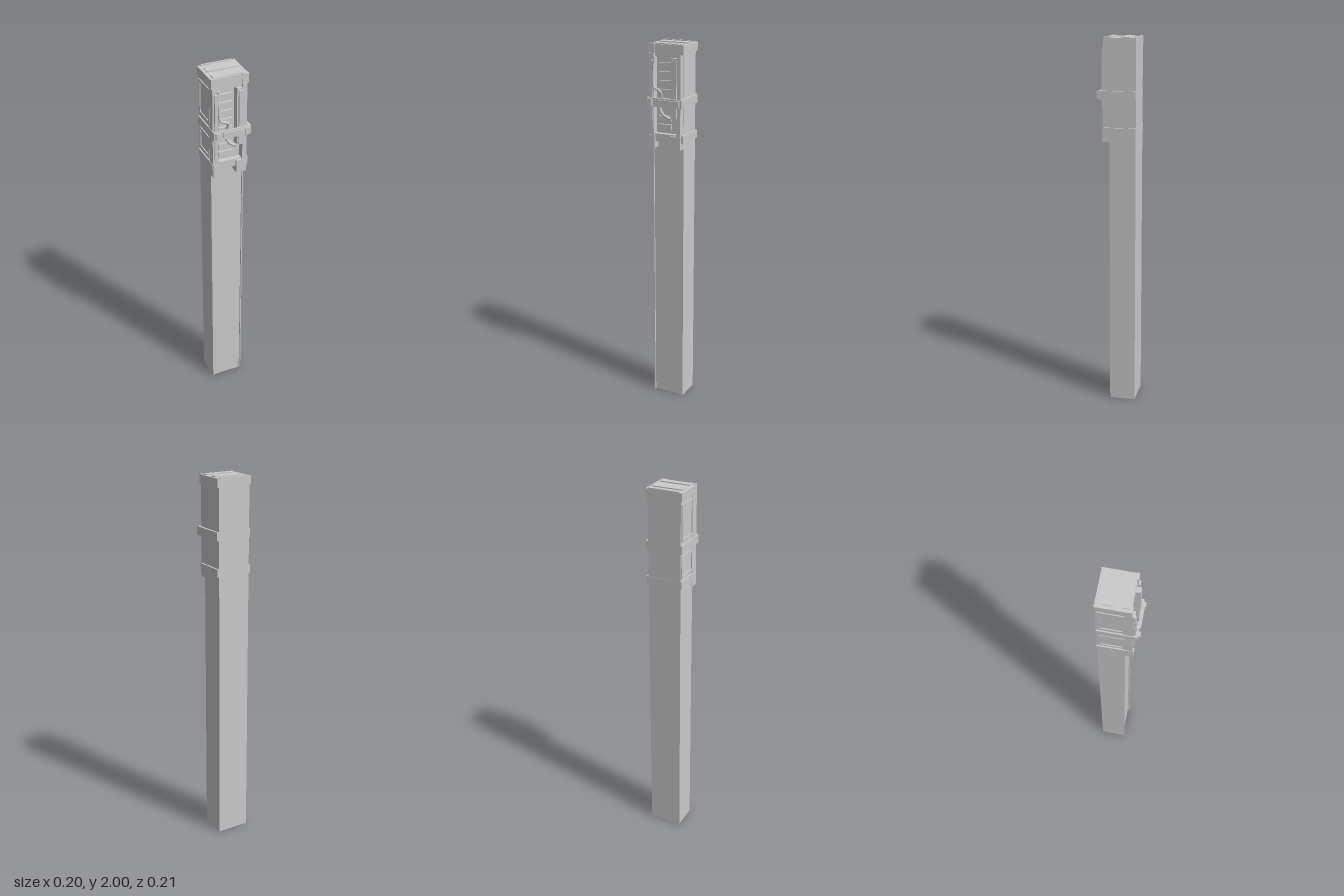
import * as THREE from 'three';

const material = new THREE.MeshStandardMaterial({ color: 0xcccccc, flatShading: true });

export function createModel() {
  const model = new THREE.Group();

  const add = (name, geometry) => {
    const mesh = new THREE.Mesh(geometry, material);
    mesh.name = name;
    model.add(mesh);
    return mesh;
  };
  // Box given by its extents on each axis
  const block = (name, x0, x1, y0, y1, z0, z1) => {
    const g = new THREE.BoxGeometry(x1 - x0, y1 - y0, z1 - z0);
    g.translate((x0 + x1) / 2, (y0 + y1) / 2, (z0 + z1) / 2);
    return add(name, g);
  };

  // Tall shaft with a shallow channel down the front
  const outline = [
    [-0.093, -0.103], [0.087, -0.103], [0.087, 0.037], [0.081, 0.037],
    [0.081, 0.028], [-0.087, 0.028], [-0.087, 0.037], [-0.093, 0.037],
  ].map(([x, z]) => new THREE.Vector2(x, -z));
  const shaft = new THREE.ExtrudeGeometry(new THREE.Shape(outline), { depth: 1.97, bevelEnabled: false });
  shaft.rotateX(-Math.PI / 2);
  add('shaft', shaft);

  // Cap with raised ribs on top and corner brackets on the front
  block('cap', -0.1, 0.097, 1.95, 1.995, -0.105, 0.062);
  block('capRib', -0.083, 0.083, 1.995, 2, -0.065, -0.02);
  block('capRib', -0.083, 0.083, 1.995, 2, 0.022, 0.055);
  block('capRib', -0.083, 0.083, 1.995, 2, -0.104, -0.095);
  for (const [x0, x1] of [[-0.1, -0.066], [0.063, 0.097]]) {
    block('capBracket', x0, x1, 1.948, 1.998, 0.055, 0.067);
  }

  // Lower strap, flush with the back
  block('lowerStrap', -0.1, 0.097, 1.494, 1.536, -0.104, 0.064);

  // Middle strap: a band standing clear of the front
  block('middleStrapSide', -0.1, -0.092, 1.682, 1.727, -0.104, 0.093);
  block('middleStrapSide', 0.086, 0.1, 1.682, 1.727, -0.104, 0.093);
  block('middleStrapFront', -0.1, 0.1, 1.682, 1.727, 0.084, 0.093);
  block('middleStrapPlate', -0.048, 0.088, 1.69, 1.719, 0.093, 0.1);
  for (const x of [-0.078, 0.076]) {
    block('strapBlock', x - 0.013, x + 0.013, 1.687, 1.722, 0.093, 0.105);
  }

  // Front rails and their feet
  block('leftHandRail', -0.097, -0.066, 1.46, 1.95, 0.028, 0.072);
  block('rightHandRail', 0.062, 0.085, 1.46, 1.95, 0.028, 0.075);
  block('rightHandFoot', 0.03, 0.085, 1.46, 1.53, 0.028, 0.077);
  block('leftHandFoot', -0.097, -0.063, 1.46, 1.53, 0.028, 0.077);
  block('topRail', -0.066, 0.062, 1.932, 1.95, 0.028, 0.06);

  // Slats between the rails
  block('slatBacking', -0.066, 0.062, 1.53, 1.94, 0.028, 0.038);
  for (let i = 0; i < 9; i++) {
    const y = 1.556 + i * 0.0455;
    block('slat', -0.054, 0.02, y, y + 0.028, 0.036, 0.05);
  }

  // Slim bars mounted beside the slats
  block('sideBar', 0.032, 0.07, 1.62, 1.93, 0.036, 0.074);
  block('sideBarRidge', 0.04, 0.066, 1.63, 1.92, 0.074, 0.083);
  block('leverBar', -0.088, -0.07, 1.56, 1.92, 0.072, 0.08);

  // Curved lever hanging behind the middle strap
  const leverPath = new THREE.CatmullRomCurve3([
    [-0.063, 1.93, 0.07], [-0.066, 1.85, 0.078], [-0.058, 1.78, 0.084], [-0.025, 1.765, 0.09],
    [-0.02, 1.74, 0.08], [-0.032, 1.69, 0.077], [-0.01, 1.645, 0.083], [0.022, 1.625, 0.078],
  ].map((p) => new THREE.Vector3(...p)));
  add('lever', new THREE.TubeGeometry(leverPath, 32, 0.0065, 8));
  for (const t of [0, 1]) {
    const end = add('leverEnd', new THREE.SphereGeometry(0.008, 8, 6));
    end.position.copy(leverPath.getPoint(t));
  }

  // Framed panels on the side walls of the head
  const sideFrame = (x0, x1, y0, y1) => {
    block('sideFramePost', x0, x1, y0, y1, -0.095, -0.083);
    block('sideFramePost', x0, x1, y0, y1, 0.022, 0.034);
    block('sideFrameBar', x0, x1, y0, y0 + 0.014, -0.083, 0.022);
    block('sideFrameBar', x0, x1, y1 - 0.014, y1, -0.083, 0.022);
  };
  sideFrame(-0.098, -0.092, 1.745, 1.935);
  sideFrame(-0.098, -0.092, 1.55, 1.67);

  return model;
}
